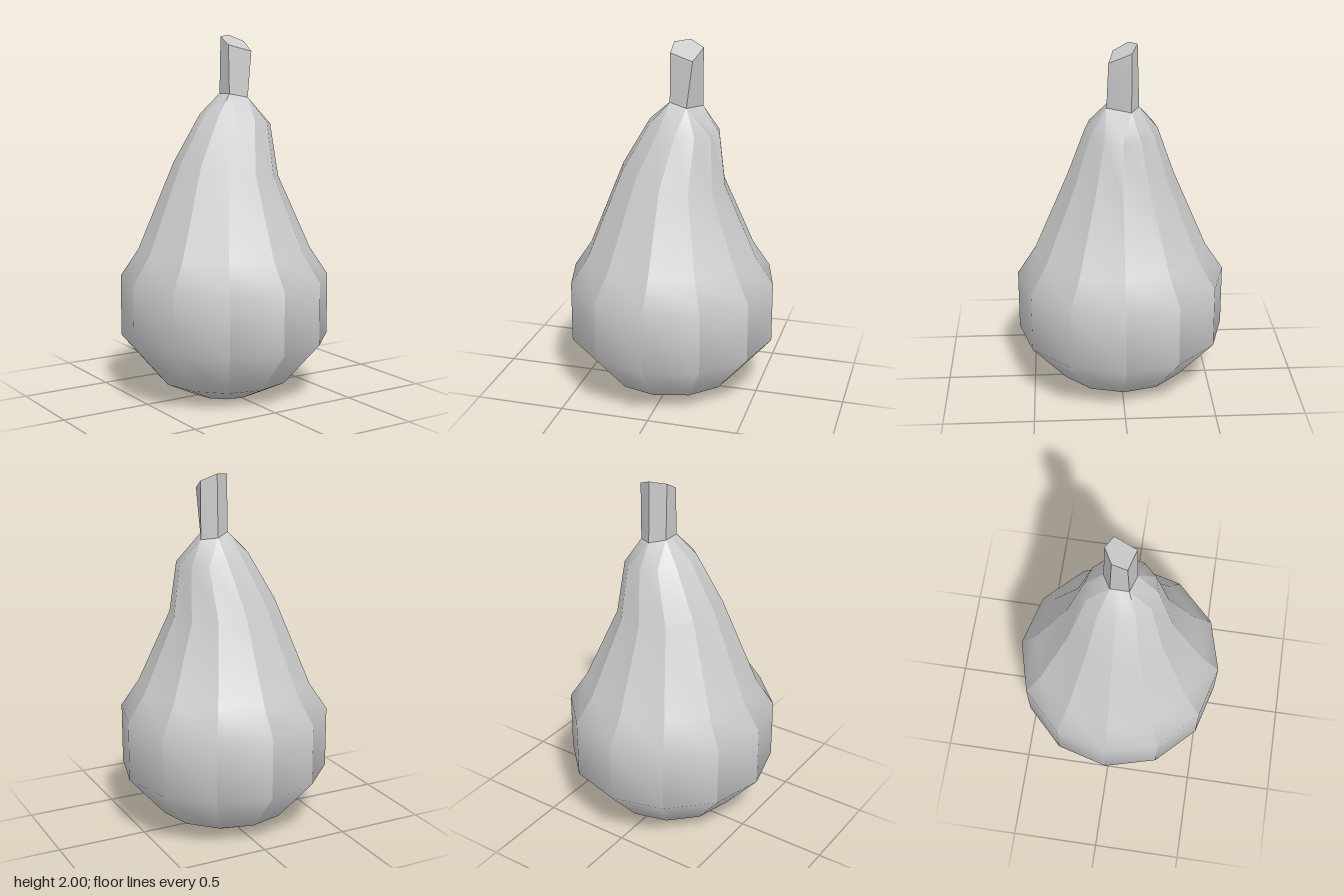
import * as THREE from 'three';

const material = new THREE.MeshStandardMaterial({ color: 0xcccccc });
const SIDES = 12;

// Pear rings from bottom to top: height, centre x, radius, tilt (drop in y per unit of x)
const rings = [
  [0, 0, 0, 0],
  [0, 0, 0.18, 0],
  [0.09, 0, 0.37, 0],
  [0.33, 0, 0.58, 0],
  [0.67, 0, 0.58, 0],
  [0.82, 0, 0.48, 0],
  [1.265, 0.01, 0.29, 0.155],
  [1.54, 0.07, 0.195, 0.16],
];

// Five corners of the stem, at its foot and at its slanted cut
const stemFoot = [
  [0.16, 1.65, -0.05], [0.1, 1.66, 0.08], [0, 1.68, 0.05], [0, 1.68, -0.05], [0.08, 1.66, -0.095],
].map((p) => new THREE.Vector3(...p));
const stemCut = [
  [0.16, 1.965, -0.05], [0.13, 1.91, 0.07], [0, 1.945, 0.04], [0, 1.99, -0.04], [0.08, 2, -0.085],
].map((p) => new THREE.Vector3(...p));

// Which stem corner each of the twelve ridges runs into (2.5 is halfway along the side)
const ridgeEnds = [0, 1, 1, 1, 2, 2, 2.5, 3, 3, 4, 4, 0];

function ridge(k) {
  const angle = (k % SIDES) * Math.PI * 2 / SIDES;
  const points = rings.map(([y, cx, r, tilt]) => {
    const dx = r * Math.cos(angle);
    return new THREE.Vector3(cx + dx, y - tilt * dx, r * Math.sin(angle));
  });
  const end = ridgeEnds[k % SIDES];
  points.push(stemFoot[Math.floor(end)].clone().lerp(stemFoot[Math.ceil(end)], end % 1));
  return points;
}

// Strips between neighbouring ridges: smooth along their length, sharp where they meet
function stripGeometry(ridges) {
  const points = [], index = [];
  ridges.forEach((a, k) => {
    const b = ridges[(k + 1) % ridges.length];
    const base = points.length;
    a.forEach((p, i) => {
      points.push(p, b[i]);
      if (i === 0) return;
      const n = base + 2 * (i - 1);
      index.push(n, n + 2, n + 3, n, n + 3, n + 1);
    });
  });
  const geometry = new THREE.BufferGeometry().setFromPoints(points);
  geometry.setIndex(index);
  geometry.computeVertexNormals();
  return geometry;
}

function addMesh(parent, geometry, name) {
  const mesh = new THREE.Mesh(geometry, material);
  mesh.name = name;
  parent.add(mesh);
}

export function createModel() {
  const model = new THREE.Group();
  model.name = 'pear';

  // Fruit body
  const ridges = Array.from({ length: SIDES }, (_, k) => ridge(k));
  addMesh(model, stripGeometry(ridges), 'fruit');

  // Stem with its slanted cut
  const stem = new THREE.Group();
  stem.name = 'stem';
  addMesh(stem, stripGeometry(stemFoot.map((p, i) => [p, stemCut[i]])), 'stemSides');
  const cut = new THREE.BufferGeometry().setFromPoints(stemCut);
  cut.setIndex([0, 2, 1, 0, 3, 2, 0, 4, 3]);
  cut.computeVertexNormals();
  addMesh(stem, cut, 'stemCut');
  model.add(stem);

  return model;
}
